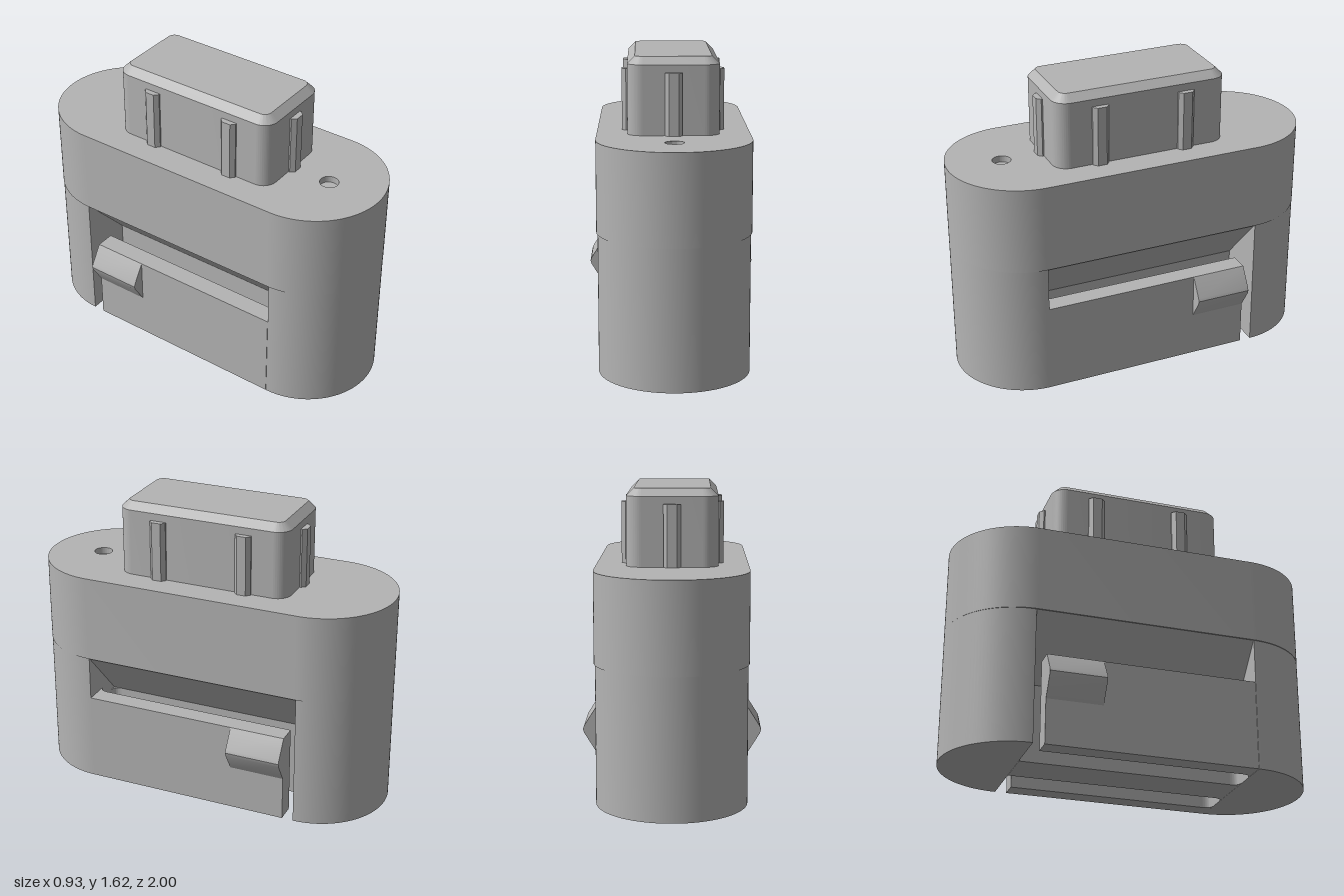
import * as THREE from 'three';
import { toCreasedNormals } from 'three/addons/utils/BufferGeometryUtils.js';

const plastic = new THREE.MeshStandardMaterial({ color: 0xb4b4b4 });
plastic.name = 'grey plastic';

// Extrude a shape; curved walls stay smooth, corners sharp
function extrude(shape, depth, bevel = 0) {
  const geo = new THREE.ExtrudeGeometry(shape, {
    depth, curveSegments: 32, bevelEnabled: bevel > 0, bevelSegments: 1,
    bevelSize: bevel, bevelThickness: bevel, bevelOffset: -bevel,
  });
  return toCreasedNormals(geo, 0.5);
}

// Plan shape (x, -z) raised from y0 to y1
function slab(shape, y0, y1, bevel = 0) {
  return extrude(shape, y1 - y0 - 2 * bevel, bevel).translate(0, 0, bevel).rotateX(-Math.PI / 2).translate(0, y0, 0);
}

// Side profile (x, y) running from z0 to z1
function bar(points, z0, z1) {
  return extrude(polygon(points), z1 - z0).translate(0, 0, z0);
}

function polygon(points) {
  return new THREE.Shape(points.map(([x, y]) => new THREE.Vector2(x, y)));
}

function stadium(r, c) {
  const s = new THREE.Shape();
  s.moveTo(r, -c);
  s.lineTo(r, c);
  s.absarc(0, c, r, 0, Math.PI);
  s.lineTo(-r, -c);
  s.absarc(0, -c, r, Math.PI, 2 * Math.PI);
  return s;
}

function roundedRect(w, h, r) {
  const s = new THREE.Shape();
  s.absarc(w - r, h - r, r, 0, Math.PI / 2);
  s.absarc(-w + r, h - r, r, Math.PI / 2, Math.PI);
  s.absarc(-w + r, -h + r, r, Math.PI, 1.5 * Math.PI);
  s.absarc(w - r, -h + r, r, 1.5 * Math.PI, 2 * Math.PI);
  s.closePath();
  return s;
}

export function createModel() {
  const group = new THREE.Group();
  const add = (name, geo) => {
    const mesh = new THREE.Mesh(geo, plastic);
    mesh.name = name;
    group.add(mesh);
    return mesh;
  };

  const shoulder = 0.735, top = 1.21, half = 0.393, core = 0.115, endZ = 0.605;

  // Upper body with a shallow round recess near the front
  const upper = stadium(0.4, 0.6);
  const hole = new THREE.Path();
  hole.absarc(0, -0.705, 0.05, 0, Math.PI * 2, true);
  upper.holes.push(hole);
  add('upperBody', slab(upper, shoulder, top));
  add('recessFloor', new THREE.CylinderGeometry(0.05, 0.05, 0.4, 32).translate(0, top - 0.235, 0.705));

  // Solid rounded ends of the lower body
  const end = new THREE.Shape();
  end.moveTo(half, endZ);
  end.absarc(0, 1 - half, half, 0, Math.PI);
  end.lineTo(-half, endZ);
  add('backEnd', slab(end, 0, shoulder));
  add('frontEnd', slab(end, 0, shoulder).rotateY(Math.PI));

  // Central core, flaring out to the shoulder
  add('core', bar([
    [-core, 0], [core, 0], [core, 0.43], [half, shoulder], [-half, shoulder], [-core, 0.43],
  ], -endZ, endZ));

  for (const s of [1, -1]) {
    const side = s > 0 ? 'left' : 'right';
    const inner = 0.29;

    // Flexible latch arm, free at the back
    add(side + 'LatchArm', bar([
      [s * inner, 0], [s * half, 0], [s * half, 0.49], [s * inner, 0.49],
    ], -0.545, endZ));

    // Pointed catch on the arm
    add(side + 'Catch', bar([
      [s * 0.385, 0.49], [s * half, 0.49], [s * 0.458, 0.387], [s * 0.464, 0.37],
      [s * 0.458, 0.35], [s * half, 0.245], [s * 0.385, 0.245],
    ], -0.545, -0.24));

    // Rounded corners at the closed end of the slot
    for (const [x, dir, y] of [[core, 1, 0.43], [inner, -1, 0.49]]) {
      const r = 0.05, f = new THREE.Shape();
      f.moveTo(s * x, -endZ);
      f.lineTo(s * (x + dir * r), -endZ);
      f.quadraticCurveTo(s * x, -endZ, s * x, -endZ + r);
      add(side + 'SlotFillet', slab(f, 0, y));
    }
  }

  // Plug with chamfered top edge
  add('plug', slab(roundedRect(0.24, 0.483, 0.08), 1.1, 1.615, 0.04));

  // Locating ribs: [x, z, turn]
  const ribs = [[0, 0.483, 0], [0, -0.483, Math.PI]];
  for (const s of [1, -1]) {
    for (const z of [0.243, -0.243]) ribs.push([s * 0.24, z, s * Math.PI / 2]);
  }
  const ribShape = polygon([
    [-0.045, 0.02], [-0.045, -0.008], [-0.025, -0.03], [0.025, -0.03], [0.045, -0.008], [0.045, 0.02],
  ]);
  for (const [x, z, turn] of ribs) {
    const rib = add('plugRib', slab(ribShape, 1.2, 1.535));
    rib.position.set(x, 0, z);
    rib.rotation.y = turn;
  }

  return group;
}
